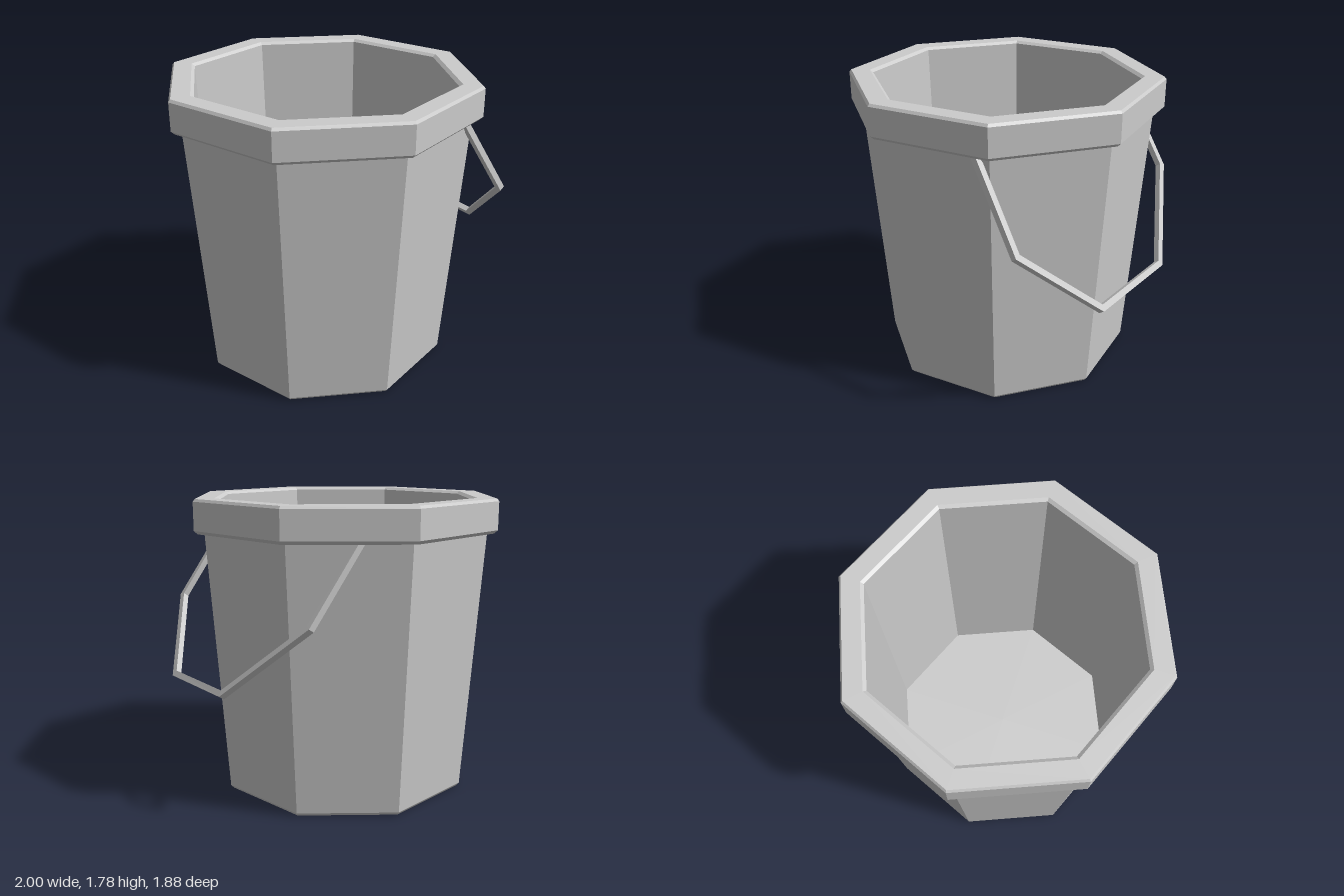
import * as THREE from 'three';

const material = new THREE.MeshStandardMaterial({ color: 0xcccccc, flatShading: true });

// Square bar swept along a nearly flat path, with mitred corners
function barGeometry(path, normal, half) {
  const last = path.length - 1;
  const positions = [], index = [];
  path.forEach((p, i) => {
    const before = p.clone().sub(path[Math.max(i - 1, 0)]).normalize();
    const after = path[Math.min(i + 1, last)].clone().sub(p).normalize();
    const tangent = before.clone().add(after).normalize();
    const side = new THREE.Vector3().crossVectors(normal, tangent).normalize();
    const miter = half / tangent.dot(i < last ? after : before);
    for (const [u, v] of [[1, 1], [-1, 1], [-1, -1], [1, -1]]) {
      const c = p.clone().addScaledVector(side, u * miter).addScaledVector(normal, v * half);
      positions.push(c.x, c.y, c.z);
    }
    if (i === last) return;
    for (let k = 0; k < 4; k++) {
      const a = i * 4 + k, b = i * 4 + (k + 1) % 4;
      index.push(a, b, b + 4, a, b + 4, a + 4);
    }
  });
  // end caps
  const e = last * 4;
  index.push(0, 2, 1, 0, 3, 2, e, e + 1, e + 2, e, e + 2, e + 3);
  const geometry = new THREE.BufferGeometry();
  geometry.setAttribute('position', new THREE.Float32BufferAttribute(positions, 3));
  geometry.setIndex(index);
  geometry.computeVertexNormals();
  return geometry;
}

export function createModel() {
  const group = new THREE.Group();
  group.name = 'bucket';

  // Eight-sided shell: underside, outer wall, rim, inner wall and floor
  const profile = [
    [0, 0], [0.75, 0], [0.767, 0.02],
    [0.878, 1.58], [0.918, 1.58], [0.94, 1.6],
    [0.94, 1.765], [0.928, 1.78], [0.815, 1.78], [0.795, 1.765],
    [0.737, 0.06], [0, 0.06],
  ].map(([r, y]) => new THREE.Vector2(r, y));
  const shell = new THREE.Mesh(new THREE.LatheGeometry(profile, 8), material);
  shell.name = 'bucketShell';
  shell.position.x = -0.06;
  group.add(shell);

  // Hanging handle, ends tucked under the rim
  const path = [
    [0.47, 1.6, 0.655], [0.795, 1.115, 0.645], [0.972, 0.717, 0.185],
    [0.86, 0.742, -0.41], [0.495, 1.16, -0.8], [0.19, 1.6, -0.775],
  ].map((p) => new THREE.Vector3(...p));
  const across = path[4].clone().sub(path[1]);
  const down = path[2].clone().add(path[3]).sub(path[0]).sub(path[5]);
  const normal = new THREE.Vector3().crossVectors(across, down).normalize();
  const handle = new THREE.Mesh(barGeometry(path, normal, 0.018), material);
  handle.name = 'handle';
  group.add(handle);

  return group;
}
